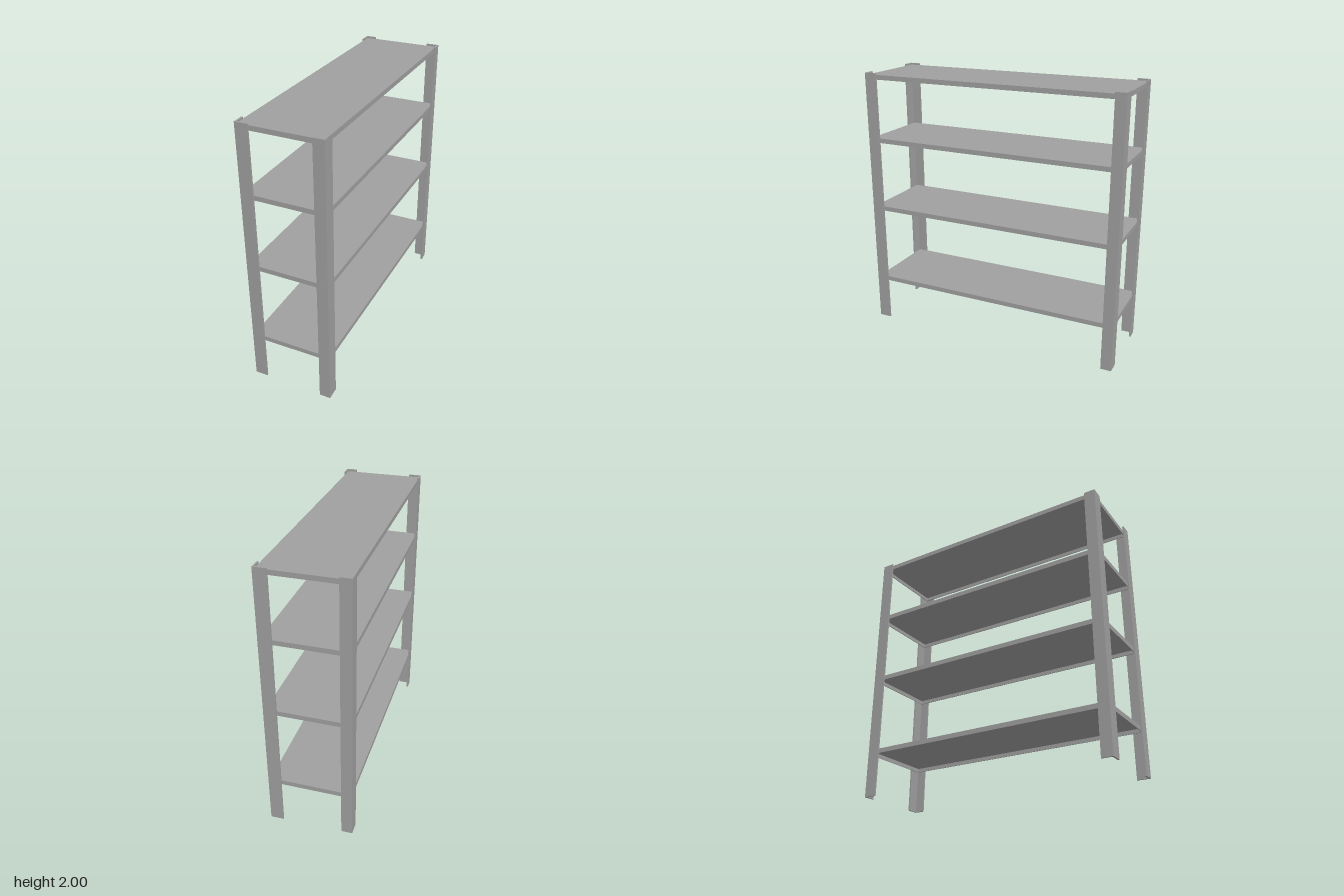
import * as THREE from 'three';

// Painted mid-grey metal
const material = new THREE.MeshStandardMaterial({ color: 0xa0a0a0, flatShading: true });

const HEIGHT = 2;
const LEG_THICKNESS = 0.012;
const SHELF = { x0: -0.298, x1: 0.293, z0: -0.981, z1: 0.973, height: 0.035, sheet: 0.006 };

function addMesh(parent, geometry, name) {
  const mesh = new THREE.Mesh(geometry, material);
  mesh.name = name;
  parent.add(mesh);
  return mesh;
}

// Extrudes a plan outline of [x, z] points upwards from y = 0;
// a hole must run the opposite way round to its outline
function extrudeUp(outline, height, hole) {
  const toPoints = (list) => list.map(([x, z]) => new THREE.Vector2(x, -z));
  const shape = new THREE.Shape(toPoints(outline));
  if (hole) shape.holes.push(new THREE.Path(toPoints(hole)));
  return new THREE.ExtrudeGeometry(shape, { depth: height, bevelEnabled: false }).rotateX(-Math.PI / 2);
}

// L-section post: outer corner at (x, z), arms reaching inwards along x and z
function angleLeg(x, z, armX, armZ) {
  const sx = -Math.sign(x), sz = -Math.sign(z), t = LEG_THICKNESS;
  const corner = [[0, 0], [armX, 0], [armX, t], [t, t], [t, armZ], [0, armZ]];
  return extrudeUp(corner.map(([u, v]) => [x + sx * u, z + sz * v]), HEIGHT);
}

const rectangle = (x0, x1, z0, z1) => [[x0, z0], [x1, z0], [x1, z1], [x0, z1]];

// Shelf: sheet panel with a folded skirt, open underneath
function createShelf(name) {
  const { x0, x1, z0, z1, height, sheet } = SHELF;
  const shelf = new THREE.Group();
  shelf.name = name;
  const panel = addMesh(shelf, new THREE.BoxGeometry(x1 - x0, sheet, z1 - z0), 'shelfPanel');
  panel.position.set((x0 + x1) / 2, height - sheet / 2, (z0 + z1) / 2);
  const outer = rectangle(x0, x1, z0, z1);
  const inner = rectangle(x0 + sheet, x1 - sheet, z0 + sheet, z1 - sheet).reverse();
  addMesh(shelf, extrudeUp(outer, height - sheet, inner), 'shelfSkirt');
  return shelf;
}

export function createModel() {
  const model = new THREE.Group();
  model.name = 'shelvingUnit';

  // Corner posts, with the longer arm alternating around the plan
  const legs = [
    ['frontRightLeg', -0.306, 0.986, 0.093, 0.083],
    ['frontLeftLeg', 0.306, 0.994, 0.081, 0.094],
    ['backLeftLeg', 0.306, -0.994, 0.094, 0.08],
    ['backRightLeg', -0.306, -0.988, 0.08, 0.093],
  ];
  for (const [name, ...dims] of legs) addMesh(model, angleLeg(...dims), name);

  // Four shelves, given by the height of their top surface
  [0.361, 0.963, 1.508, 1.987].forEach((top, i) => {
    const shelf = createShelf(`shelf${i + 1}`);
    shelf.position.y = top - SHELF.height;
    model.add(shelf);
  });

  return model;
}
